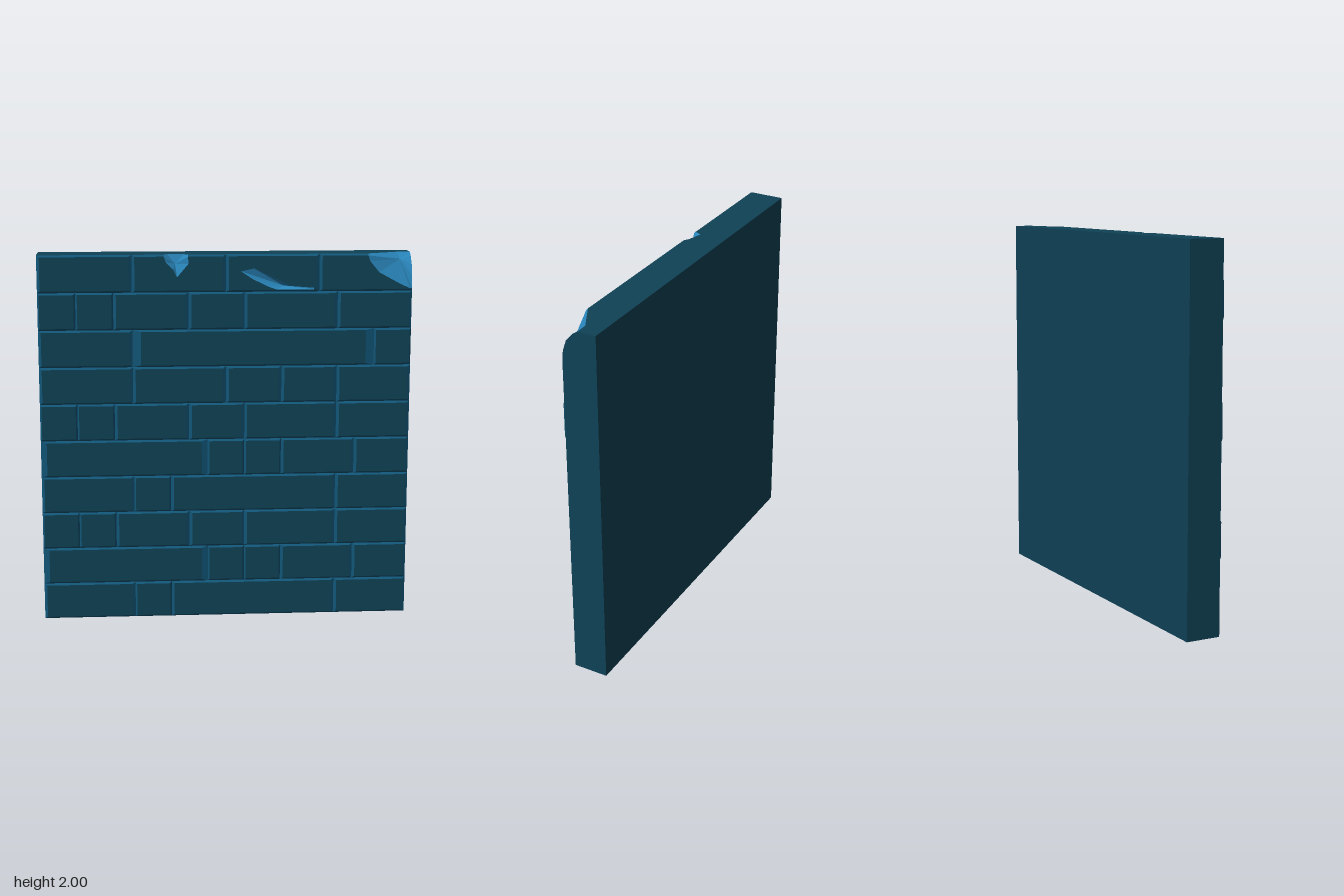
import * as THREE from 'three';
import { mergeGeometries } from 'three/addons/utils/BufferGeometryUtils.js';

const FRONT = 0.1, JOINT = 0.09, BACK = -0.1, BEVEL = 0.01, ROW = 0.2;

const material = (name, color) => {
  const m = new THREE.MeshStandardMaterial({ color });
  m.name = name;
  return m;
};

// Flat-shaded triangle fan around a hub; corners run counter-clockwise seen from outside
function fan(points, hub) {
  const pos = [];
  const n = points.length;
  if (hub) {
    for (let i = 0; i < n; i++) pos.push(...hub, ...points[i], ...points[(i + 1) % n]);
  } else {
    for (let i = 1; i < n - 1; i++) pos.push(...points[0], ...points[i], ...points[i + 1]);
  }
  const g = new THREE.BufferGeometry();
  g.setAttribute('position', new THREE.Float32BufferAttribute(pos, 3));
  g.computeVertexNormals();
  return g;
}

// Flat polygon in the xy plane
function plate(points, holes = []) {
  const toV = (p) => new THREE.Vector2(p[0], p[1]);
  const shape = new THREE.Shape(points.map(toV));
  holes.forEach((h) => shape.holes.push(new THREE.Path(h.map(toV))));
  const g = new THREE.ShapeGeometry(shape).toNonIndexed();
  g.deleteAttribute('uv');
  return g;
}

// Broken spots: rim (counter-clockwise from the front) and deepest point
const CHIPS = {
  topChip: {
    rim: [[-0.33, 2, JOINT], [-0.33, 1.99, FRONT], [-0.32, 1.96, FRONT], [-0.28, 1.92, FRONT],
      [-0.26, 1.88, FRONT], [-0.2, 1.95, FRONT], [-0.2, 1.99, FRONT], [-0.2, 2, JOINT],
      [-0.22, 2, 0.075], [-0.31, 2, 0.05]],
    hub: [-0.27, 1.95, 0.07],
  },
  faceChip: {
    rim: [[0.08, 1.91, FRONT], [0.14, 1.87, FRONT], [0.22, 1.83, FRONT], [0.27, 1.812, FRONT],
      [0.47, 1.812, FRONT], [0.47, 1.82, FRONT], [0.34, 1.835, FRONT], [0.25, 1.88, FRONT],
      [0.15, 1.925, FRONT]],
    hub: [0.31, 1.83, 0.07],
  },
  cornerChip: {
    rim: [[0.76, 2, JOINT], [0.76, 1.99, FRONT], [0.77, 1.96, FRONT], [0.82, 1.9, FRONT],
      [0.93, 1.84, FRONT], [0.985, 1.815, FRONT], [1, 1.815, JOINT], [1, 1.88, 0.085],
      [1, 1.94, 0.065], [1, 1.98, 0.03], [1, 2, 0], [0.93, 2, 0]],
    hub: [0.94, 1.965, 0.04],
  },
};
const onFace = (chip) => chip.rim.filter((p) => p[2] === FRONT);

// Brick courses from the bottom up: joint positions along x
const A = [-1, -0.5, -0.3, 0.6, 1];
const B = [-1, -0.1, 0.1, 0.3, 0.7, 1];
const C = [-1, -0.8, -0.6, -0.2, 0.1, 0.6, 1];
const COURSES = [A, B, C, A, B, C, [-1, -0.5, 0, 0.3, 0.6, 1], [-1, -0.5, 0.8, 1], C, [-1, -0.5, 0, 0.5, 1]];

// Long bricks have wider end bevels
const endBevel = (course, length) => {
  if (length > 1) return 0.045;
  if (length > 0.8 && (course === 1 || course === 4)) return 0.032;
  return length < 0.25 ? 0.009 : 0.015;
};

// One brick: a raised front face and four sloping bevels
function brick(x0, x1, y0, y1, bx, opt = {}) {
  const l = x0 + bx, r = x1 - bx, b = y0 + BEVEL, t = y1 - BEVEL;
  const face = plate(opt.face || [[l, b], [r, b], [r, t], [l, t]], opt.holes);
  face.translate(0, 0, FRONT);
  const endY = opt.rightTop;
  const bevels = [
    fan([[x0, y0, JOINT], [x1, y0, JOINT], [r, b, FRONT], [l, b, FRONT]]),
    fan([[x0, y1, JOINT], [x0, y0, JOINT], [l, b, FRONT], [l, t, FRONT]]),
    fan([[x1, y0, JOINT], [x1, endY || y1, JOINT], [r, endY || t, FRONT], [r, b, FRONT]]),
  ];
  for (const [s, e] of opt.topRuns || [[x0, x1]]) {
    bevels.push(fan([[e, y1, JOINT], [s, y1, JOINT],
      [Math.max(s, l), t, FRONT], [Math.min(e, r), t, FRONT]]));
  }
  return { face, bevels };
}

// Top-course bricks cut by the chips, keyed by their left joint
const DAMAGED = {
  '-0.5': {
    face: [[-0.485, 1.81], [-0.015, 1.81], [-0.015, 1.99], ...onFace(CHIPS.topChip).reverse(), [-0.485, 1.99]],
    topRuns: [[-0.5, -0.33], [-0.2, 0]],
  },
  '0': { holes: [onFace(CHIPS.faceChip)] },
  '0.5': {
    face: [[0.515, 1.81], [0.985, 1.81], ...onFace(CHIPS.cornerChip).reverse(), [0.515, 1.99]],
    topRuns: [[0.5, 0.76]],
    rightTop: 1.815,
  },
};

export function createModel() {
  const wall = new THREE.Group();
  wall.name = 'brickWall';
  const stone = material('darkTealStone', 0x0f4256);
  const edge = material('tealBevel', 0x125678);
  const broken = material('brightBlueChip', 0x2985ba);
  const add = (parent, name, geometry, mat) => {
    const mesh = new THREE.Mesh(geometry, mat);
    mesh.name = name;
    parent.add(mesh);
  };

  // Back, bottom and left side of the slab
  add(wall, 'backFace', fan([[1, 0, BACK], [-1, 0, BACK], [-1, 2, BACK], [1, 2, BACK]]), stone);
  add(wall, 'bottomFace', fan([[-1, 0, BACK], [1, 0, BACK], [1, 0, JOINT], [-1, 0, JOINT]]), stone);
  add(wall, 'leftEndFace', fan([[-1, 0, BACK], [-1, 0, JOINT], [-1, 2, JOINT], [-1, 2, BACK]]), stone);

  // Top, following the chipped edge
  const topRim = (chip) => chip.rim.filter((p) => p[1] === 2).map((p) => [p[0], -p[2]]);
  const [notchStart, ...notchRest] = topRim(CHIPS.topChip);
  const [cornerStart, ...cornerRest] = topRim(CHIPS.cornerChip);
  const top = plate([[-1, -JOINT], notchStart, ...notchRest.reverse(),
    cornerStart, ...cornerRest.reverse(), [1, -BACK], [-1, -BACK]]);
  top.rotateX(-Math.PI / 2).translate(0, 2, 0);
  add(wall, 'topFace', top, stone);

  // Right end, following the broken corner
  const endRim = CHIPS.cornerChip.rim.filter((p) => p[0] === 1).map((p) => [-p[2], p[1]]);
  const end = plate([[-JOINT, 0], [-BACK, 0], [-BACK, 2], ...endRim.reverse()]);
  end.rotateY(Math.PI / 2).translate(1, 0, 0);
  add(wall, 'rightEndFace', end, stone);

  // Brick courses
  COURSES.forEach((joints, course) => {
    const row = new THREE.Group();
    row.name = `brickCourse${course + 1}`;
    const faces = [], bevels = [];
    for (let i = 0; i < joints.length - 1; i++) {
      const x0 = joints[i], x1 = joints[i + 1];
      const damage = course === 9 ? DAMAGED[String(x0)] : undefined;
      const part = brick(x0, x1, course * ROW, (course + 1) * ROW, endBevel(course, x1 - x0), damage);
      faces.push(part.face);
      bevels.push(...part.bevels);
    }
    add(row, 'brickFaces', mergeGeometries(faces), stone);
    add(row, 'brickBevels', mergeGeometries(bevels), edge);
    wall.add(row);
  });

  // Chipped hollows
  for (const [name, chip] of Object.entries(CHIPS)) add(wall, name, fan(chip.rim, chip.hub), broken);

  return wall;
}
